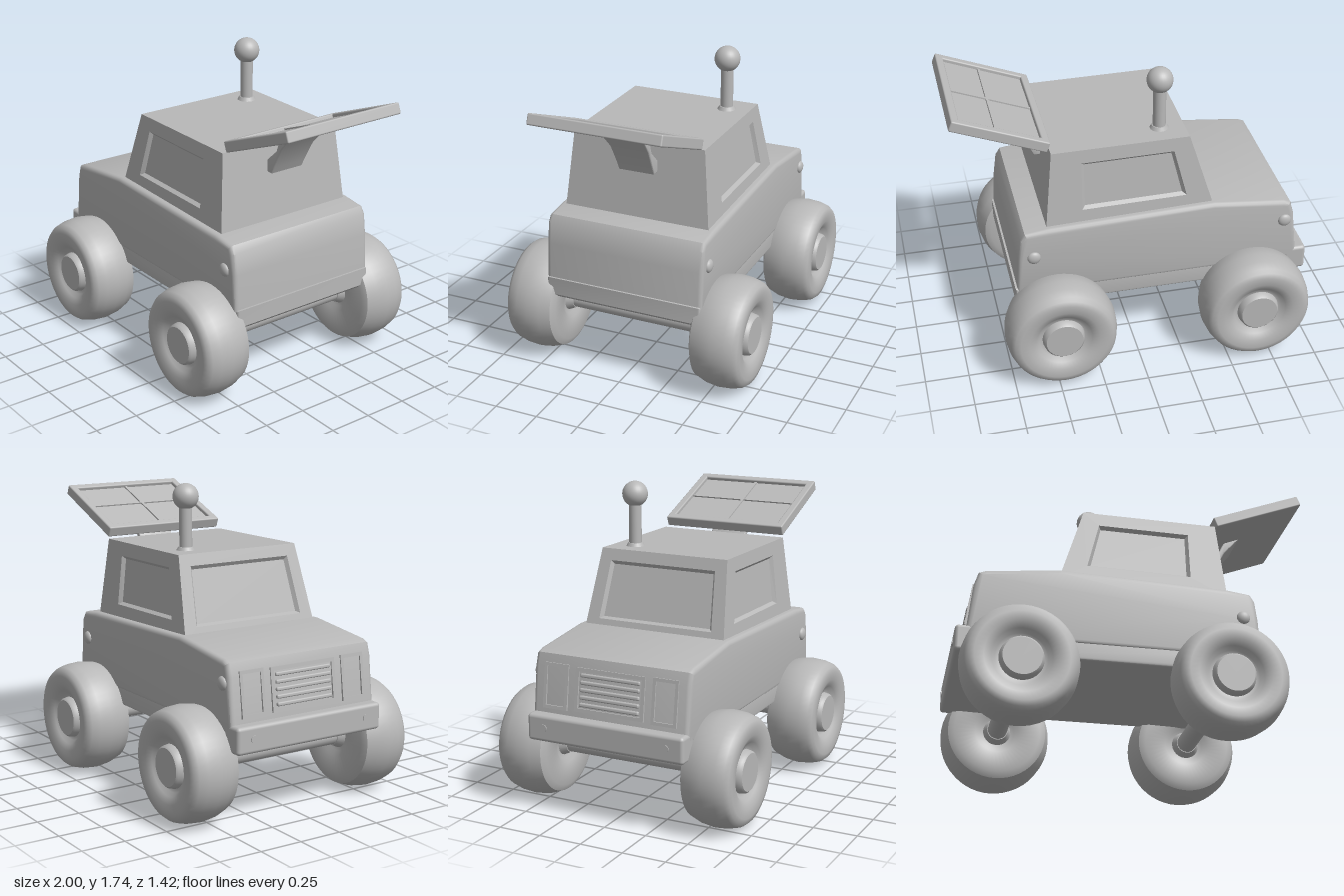
import * as THREE from 'three';
import { toCreasedNormals } from 'three/addons/utils/BufferGeometryUtils.js';
import { RoundedBoxGeometry } from 'three/addons/geometries/RoundedBoxGeometry.js';

const grey = new THREE.MeshStandardMaterial({ color: 0xb8b8b8 });
grey.name = 'plain grey';

function add(parent, name, geometry, x = 0, y = 0, z = 0) {
  const mesh = new THREE.Mesh(geometry, grey);
  mesh.name = name;
  mesh.position.set(x, y, z);
  parent.add(mesh);
  return mesh;
}

// Side profile in x/y, extruded across z with rounded edges
function sideSlab(points, width, bevel) {
  const shape = new THREE.Shape(points.map(p => new THREE.Vector2(...p)));
  const geo = new THREE.ExtrudeGeometry(shape, {
    depth: width - 2 * bevel, bevelEnabled: bevel > 0, bevelSize: bevel,
    bevelThickness: bevel, bevelOffset: -bevel, bevelSegments: 3
  });
  geo.translate(0, 0, -width / 2 + bevel);
  return toCreasedNormals(geo, 0.6);
}

// Flat four-cornered face (bl, br, tr, tl) with a sunken pane at [u0, u1, v0, v1]
function recessedFace(corners, pane, depth = 0.02) {
  const [bl, br, tr, tl] = corners.map(c => new THREE.Vector3(...c));
  const at = (u, v) => bl.clone().lerp(br, u).lerp(tl.clone().lerp(tr, u), v);
  const ring = (u0, u1, v0, v1) => [at(u0, v0), at(u1, v0), at(u1, v1), at(u0, v1)];
  const normal = br.clone().sub(bl).cross(tl.clone().sub(bl)).normalize();
  const pos = [];
  const quad = (a, b, c, d) => [a, b, c, a, c, d].forEach(p => pos.push(p.x, p.y, p.z));
  const outer = ring(0, 1, 0, 1);
  if (!pane) quad(...outer);
  else {
    const [u0, u1, v0, v1] = pane;
    const hole = ring(u0, u1, v0, v1);
    const floor = ring(u0 + 0.02, u1 - 0.02, v0 + 0.035, v1 - 0.035);
    floor.forEach(p => p.addScaledVector(normal, -depth));
    for (let i = 0; i < 4; i++) {
      const j = (i + 1) % 4;
      quad(outer[i], outer[j], hole[j], hole[i]);
      quad(hole[i], hole[j], floor[j], floor[i]);
    }
    quad(...floor);
  }
  const geo = new THREE.BufferGeometry();
  geo.setAttribute('position', new THREE.Float32BufferAttribute(pos, 3));
  geo.computeVertexNormals();
  return geo;
}

// Thin rectangular rim in x/y
function rim(w, h, t, depth) {
  const rect = (C, a, b) => new C([[-a, -b], [a, -b], [a, b], [-a, b]].map(p => new THREE.Vector2(...p)));
  const shape = rect(THREE.Shape, w / 2, h / 2);
  shape.holes.push(rect(THREE.Path, w / 2 - t, h / 2 - t));
  return new THREE.ExtrudeGeometry(shape, { depth, bevelEnabled: false });
}

function cabin() {
  const g = new THREE.Group();
  g.name = 'cabin';
  // Corner positions by front/rear, bottom/top and side
  const fb = s => [-0.445, 0.92, s * 0.435], ft = s => [-0.305, 1.375, s * 0.39];
  const rb = s => [0.512, 0.9, s * 0.435], rt = s => [0.465, 1.368, s * 0.39];
  add(g, 'leftSide', recessedFace([fb(1), rb(1), rt(1), ft(1)], [0.14, 0.785, 0.22, 0.83]));
  add(g, 'rightSide', recessedFace([rb(-1), fb(-1), ft(-1), rt(-1)], [0.215, 0.86, 0.22, 0.83]));
  add(g, 'windscreen', recessedFace([fb(-1), fb(1), ft(1), ft(-1)], [0.09, 0.91, 0.16, 0.86]));
  add(g, 'rearWall', recessedFace([rb(1), rb(-1), rt(-1), rt(1)]));
  add(g, 'roof', recessedFace([ft(1), rt(1), rt(-1), ft(-1)]));
  return g;
}

function nose() {
  const g = new THREE.Group();
  g.name = 'nose';
  g.position.set(-0.918, 0.73, 0);
  g.rotation.order = 'YXZ';
  g.rotation.set(-0.14, -Math.PI / 2, 0);
  // Grille slats in a shallow frame
  add(g, 'grilleFrame', rim(0.42, 0.24, 0.02, 0.012));
  for (let i = 0; i < 5; i++)
    add(g, 'grilleSlat', new RoundedBoxGeometry(0.36, 0.022, 0.025, 2, 0.008), 0, -0.08 + i * 0.04, 0.005);
  // Lamp surrounds
  for (const s of [-1, 1]) add(g, 'lampSurround', rim(0.15, 0.25, 0.018, 0.012), s * 0.33, 0, 0);
  return g;
}

function wheel() {
  const profile = [
    [0, -0.12], [0.1, -0.12], [0.125, -0.138], [0.25, -0.148], [0.285, -0.13], [0.308, -0.07],
    [0.318, 0], [0.312, 0.07], [0.298, 0.12], [0.28, 0.143], [0.25, 0.15], [0.2, 0.145],
    [0.16, 0.128], [0.14, 0.105], [0.12, 0.1], [0.114, 0.13], [0.104, 0.14], [0, 0.14]
  ].map(p => new THREE.Vector2(...p));
  const geo = new THREE.LatheGeometry(profile, 48);
  geo.rotateX(Math.PI / 2);
  return toCreasedNormals(geo, 0.7);
}

function solarPanel() {
  const g = new THREE.Group();
  g.name = 'solarPanel';
  g.position.set(0.73, 1.505, 0);
  g.rotation.z = 0.375;
  const L = 0.555, W = 0.765, b = 0.045;
  add(g, 'panelBase', new THREE.BoxGeometry(L - 0.01, 0.04, W - 0.01), 0, -0.01, 0);
  // Raised border and cell dividers
  for (const s of [-1, 1]) {
    add(g, 'endBorder', new RoundedBoxGeometry(b, 0.062, W, 2, 0.008), s * (L - b) / 2, 0, 0);
    add(g, 'sideBorder', new RoundedBoxGeometry(L, 0.062, b, 2, 0.008), 0, 0, s * (W - b) / 2);
  }
  add(g, 'crossDivider', new THREE.BoxGeometry(0.015, 0.02, W - b), 0.02, 0.008, 0);
  add(g, 'longDivider', new THREE.BoxGeometry(L - b, 0.02, 0.015), 0, 0.008, 0);
  return g;
}

export function createModel() {
  const model = new THREE.Group();
  model.name = 'roverCar';

  // Body: main shell, lower sill, bumper
  add(model, 'body', sideSlab([[-0.945, 0.52], [0.69, 0.52], [0.678, 0.75], [0.662, 0.87], [0.635, 0.912],
    [0.5, 0.93], [-0.44, 0.96], [-0.85, 0.915], [-0.888, 0.9], [-0.91, 0.83]], 0.945, 0.025));
  add(model, 'sill', sideSlab([[-0.92, 0.43], [0.68, 0.43], [0.7, 0.45], [0.7, 0.55], [-0.92, 0.55]], 0.93, 0.012));
  add(model, 'bumper', new RoundedBoxGeometry(0.13, 0.15, 0.945, 3, 0.02), -0.935, 0.505, 0);
  for (const s of [-1, 1]) {
    const bolt = add(model, 'bumperBolt', new THREE.CylinderGeometry(0.02, 0.02, 0.01, 16), -1, 0.51, s * 0.37);
    bolt.rotation.z = Math.PI / 2;
  }
  model.add(cabin(), nose());

  // Side lamps
  for (const [x, y, s] of [[0.59, 0.76, 1], [0.59, 0.76, -1], [-0.855, 0.79, -1]])
    add(model, 'sideLamp', new THREE.SphereGeometry(0.038, 20, 12), x, y, s * 0.472).scale.z = 0.55;

  // Wheels and axles
  const wheelGeo = wheel();
  for (const x of [-0.663, 0.47]) {
    const axle = add(model, 'axle', new THREE.CylinderGeometry(0.056, 0.056, 0.9, 24), x, 0.325, 0);
    axle.rotation.x = Math.PI / 2;
    for (const s of [-1, 1]) {
      const w = add(model, 'wheel', wheelGeo, x, 0.325, s * 0.56);
      if (s < 0) w.rotation.y = Math.PI;
      const collar = add(model, 'axleCollar', new THREE.CylinderGeometry(0.085, 0.06, 0.05, 24), x, 0.325, s * 0.425);
      collar.rotation.x = s * Math.PI / 2;
    }
  }
  add(model, 'axleStrut', new THREE.CylinderGeometry(0.038, 0.038, 0.12, 16), -0.663, 0.39, -0.25);

  // Roof antenna
  const antenna = new THREE.Group();
  antenna.name = 'antenna';
  antenna.position.set(-0.165, 1.36, -0.255);
  add(antenna, 'antennaBase', new THREE.CylinderGeometry(0.042, 0.058, 0.03, 24), 0, 0.018, 0);
  add(antenna, 'antennaPole', new THREE.CylinderGeometry(0.036, 0.036, 0.27, 24), 0, 0.135, 0);
  add(antenna, 'antennaBall', new THREE.SphereGeometry(0.073, 28, 20), 0, 0.312, 0);
  model.add(antenna);

  // Solar panel on its rear bracket, which widens towards the top
  model.add(solarPanel());
  const strap = sideSlab([[0.475, 1.2], [0.515, 1.2], [0.535, 1.24], [0.6, 1.36], [0.7, 1.47],
    [0.6, 1.43], [0.555, 1.34], [0.475, 1.27]], 0.215, 0.006);
  const p = strap.attributes.position;
  for (let i = 0; i < p.count; i++)
    p.setZ(i, p.getZ(i) * (1 + 0.9 * Math.max(0, p.getY(i) - 1.3)) - 0.01);
  add(model, 'panelBracket', strap);

  return model;
}
